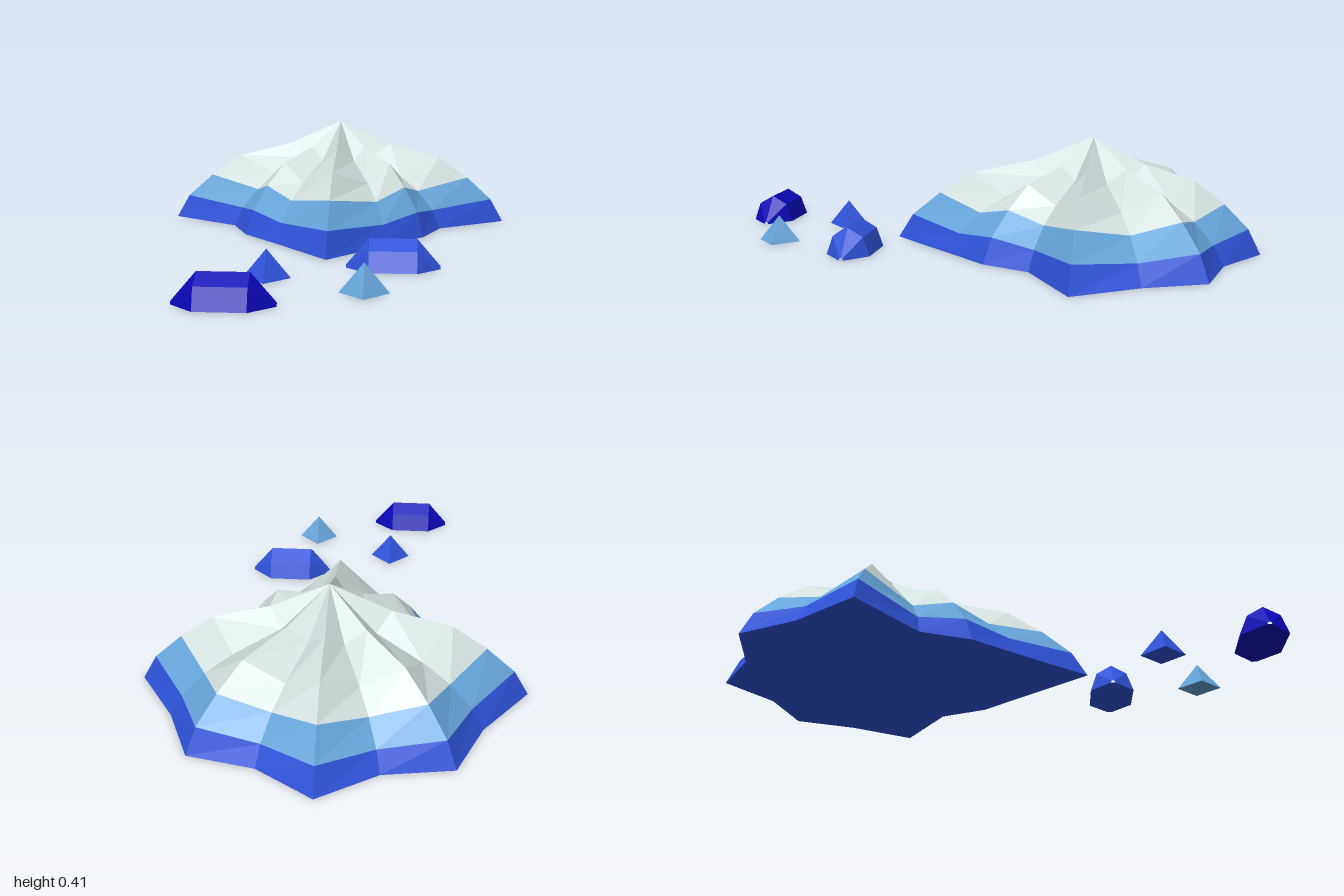
import * as THREE from 'three';

function mat(name, color) {
  const m = new THREE.MeshStandardMaterial({ color, flatShading: true });
  m.name = name;
  return m;
}

// Skin between successive closed rings of points, faces pointing outward
function loft(rings, bottom = false) {
  const pts = [];
  for (let r = 0; r < rings.length - 1; r++) {
    const lo = rings[r], hi = rings[r + 1], n = lo.length;
    for (let i = 0; i < n; i++) {
      const j = (i + 1) % n;
      pts.push(lo[i], hi[i], lo[j], lo[j], hi[i], hi[j]);
    }
  }
  if (bottom) {
    const ring = rings[0], c = new THREE.Vector3(0, 0, 0);
    ring.forEach((p, i) => pts.push(c, p, ring[(i + 1) % ring.length]));
  }
  const g = new THREE.BufferGeometry().setFromPoints(pts);
  g.computeVertexNormals();
  return g;
}

function add(parent, name, geometry, material, x = 0, y = 0, z = 0) {
  const mesh = new THREE.Mesh(geometry, material);
  mesh.name = name;
  mesh.position.set(x, y, z);
  parent.add(mesh);
}

export function createModel() {
  const model = new THREE.Group();
  model.name = 'crystalMound';
  const blue = mat('blue', 0x2f52d8);
  const lightBlue = mat('lightBlue', 0x65a4da);
  const pale = mat('paleGrey', 0xd2e0de);
  const deep = mat('deepBlue', 0x0a08b8);

  // Mound: sixteen spokes, ridges alternating with lower valleys.
  // Radii run from +x through the front (+z), -x and the back (-z).
  const radii = [0.66, 0.437, 0.477, 0.535, 0.736, 0.535, 0.482, 0.447,
    0.682, 0.565, 0.61, 0.51, 0.6, 0.51, 0.6, 0.56];
  const spread = [1, 0.925, 0.78, 0.605, 0.305, 0];
  const ridgeY = [0, 0.09, 0.178, 0.26, 0.312, 0.405];
  const valleyY = [0, 0.07, 0.142, 0.197, 0.262, 0.405];
  const rings = spread.map((s, k) => radii.map((r, i) => {
    const a = (i / radii.length) * Math.PI * 2;
    const y = (i % 2 ? valleyY : ridgeY)[k];
    return new THREE.Vector3(Math.cos(a) * r * s, y, Math.sin(a) * r * s);
  }));
  const mound = new THREE.Group();
  mound.name = 'mound';
  mound.position.set(0.01, 0, -0.4);
  add(mound, 'moundBase', loft(rings.slice(0, 2), true), blue);
  add(mound, 'moundBand', loft(rings.slice(1, 3)), lightBlue);
  add(mound, 'moundCap', loft(rings.slice(2)), pale);
  model.add(mound);

  // Long half-buried crystals, tapering to small open ends
  const profile = [[0.08, 0], [0.056, 0.068], [0, 0.1], [-0.056, 0.068], [-0.08, 0]];
  const sections = [[-0.157, 0.1], [-0.08, 1], [0.08, 1], [0.157, 0.1]];
  const longCrystal = loft(sections.map(([x, s]) =>
    profile.map(([z, y]) => new THREE.Vector3(x, y * s, z * s))));
  add(model, 'longCrystalLeft', longCrystal, blue, 0.243, 0, 0.432);
  add(model, 'longCrystalRight', longCrystal, deep, -0.241, 0, 0.92);

  // Small four-sided shards
  const shard = new THREE.ConeGeometry(0.079, 0.096, 4).translate(0, 0.048, 0);
  add(model, 'shardRight', shard, blue, -0.16, 0, 0.595);
  add(model, 'shardLeft', shard, lightBlue, 0.162, 0, 0.757);

  return model;
}
